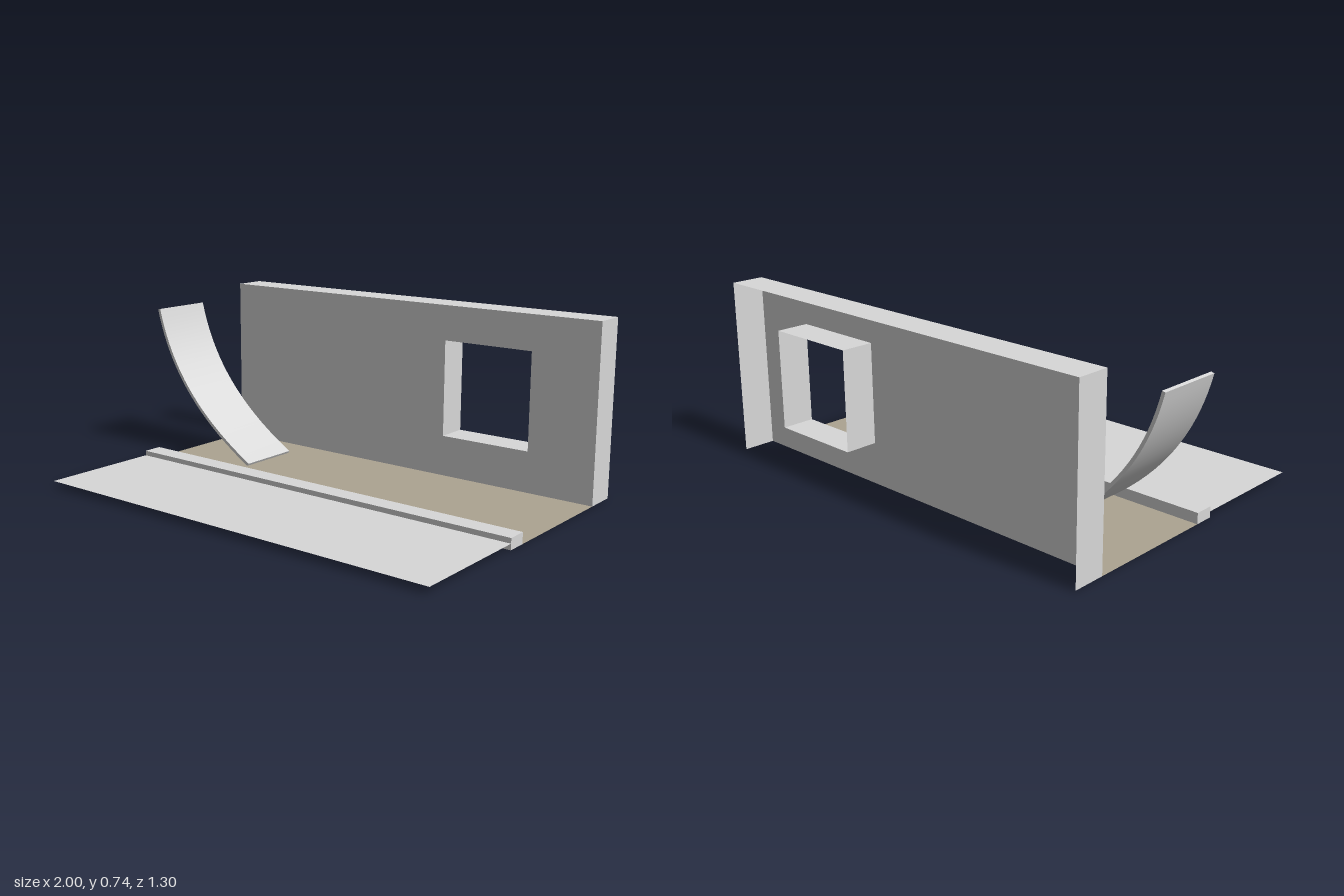
import * as THREE from 'three';
import { toCreasedNormals } from 'three/addons/utils/BufferGeometryUtils.js';

const concrete = new THREE.MeshStandardMaterial({ color: 0xd8d8d8, side: THREE.DoubleSide });
concrete.name = 'concrete grey';
const earth = new THREE.MeshStandardMaterial({ color: 0xada491, side: THREE.DoubleSide });
earth.name = 'earth brown';

const X0 = -0.87, X1 = 1; // shared length of wall, kerb and ground

function add(group, name, geometry, material) {
  const mesh = new THREE.Mesh(geometry, material);
  mesh.name = name;
  group.add(mesh);
  return mesh;
}

// Flat band through [x, y] points, spanning z0 to z1, one sharp quad per step
function band(points, z0, z1) {
  const pos = [];
  for (let i = 0; i < points.length - 1; i++) {
    const [ax, ay] = points[i], [bx, by] = points[i + 1];
    pos.push(ax, ay, z0, bx, by, z0, bx, by, z1, ax, ay, z0, bx, by, z1, ax, ay, z1);
  }
  const g = new THREE.BufferGeometry();
  g.setAttribute('position', new THREE.Float32BufferAttribute(pos, 3));
  g.computeVertexNormals();
  return g;
}

function points2(list) {
  return list.map(([x, y]) => new THREE.Vector2(x, y));
}

// Ends and top of a block that is open underneath
function outline(height) {
  return [[X1, 0.002], [X1, height], [X0, height], [X0, 0.002]];
}

function ground(group, name, y, z0, z1, material) {
  const g = new THREE.PlaneGeometry(X1 - X0, z1 - z0).rotateX(-Math.PI / 2);
  add(group, name, g, material).position.set((X0 + X1) / 2, y, (z0 + z1) / 2);
}

export function createModel() {
  const model = new THREE.Group();
  model.name = 'streetCorner';

  // Ground strips either side of the kerb, the outer one higher
  ground(model, 'pavement', 0.002, -0.513, 0.048, earth);
  ground(model, 'road', 0.027, 0.131, 0.652, concrete);

  // Wall: open at the back and underneath, with a window tunnel
  const wall = new THREE.Group();
  wall.name = 'wall';
  const opening = [[0.297, 0.177], [0.297, 0.592], [0.705, 0.592], [0.705, 0.177], [0.297, 0.177]];
  const face = new THREE.Shape(points2(outline(0.742)));
  face.holes.push(new THREE.Path(points2(opening)));
  add(wall, 'wallFace', new THREE.ShapeGeometry(face).translate(0, 0, -0.513), concrete);
  add(wall, 'wallSides', band(outline(0.742), -0.652, -0.513), concrete);
  add(wall, 'windowReveal', band(opening, -0.652, -0.513), concrete);
  model.add(wall);

  // Kerb: open underneath
  const kerb = new THREE.Group();
  kerb.name = 'kerb';
  const kerbFace = new THREE.ShapeGeometry(new THREE.Shape(points2(outline(0.048))));
  add(kerb, 'kerbFront', kerbFace.clone().translate(0, 0, 0.131), concrete);
  add(kerb, 'kerbBack', kerbFace.clone().rotateY(Math.PI).translate(X0 + X1, 0, 0.048), concrete);
  add(kerb, 'kerbSides', band(outline(0.048), 0.048, 0.131), concrete);
  model.add(kerb);

  // Curved ramp: a thin sheet following a curve
  const curve = new THREE.CubicBezierCurve(
    new THREE.Vector2(-0.993, 0.655), new THREE.Vector2(-0.93, 0.4),
    new THREE.Vector2(-0.77, 0.19), new THREE.Vector2(-0.453, 0.006));
  const upper = [], lower = [];
  const steps = 20, half = 0.007;
  for (let i = 0; i <= steps; i++) {
    const p = curve.getPoint(i / steps), t = curve.getTangent(i / steps);
    upper.push(new THREE.Vector2(p.x - t.y * half, p.y + t.x * half));
    lower.push(new THREE.Vector2(p.x + t.y * half, p.y - t.x * half));
  }
  const section = new THREE.Shape([...lower, ...upper.reverse()]);
  const sheet = new THREE.ExtrudeGeometry(section, { depth: 0.28, bevelEnabled: false });
  add(model, 'curvedRamp', toCreasedNormals(sheet, 0.6), concrete).position.z = -0.374;

  return model;
}
